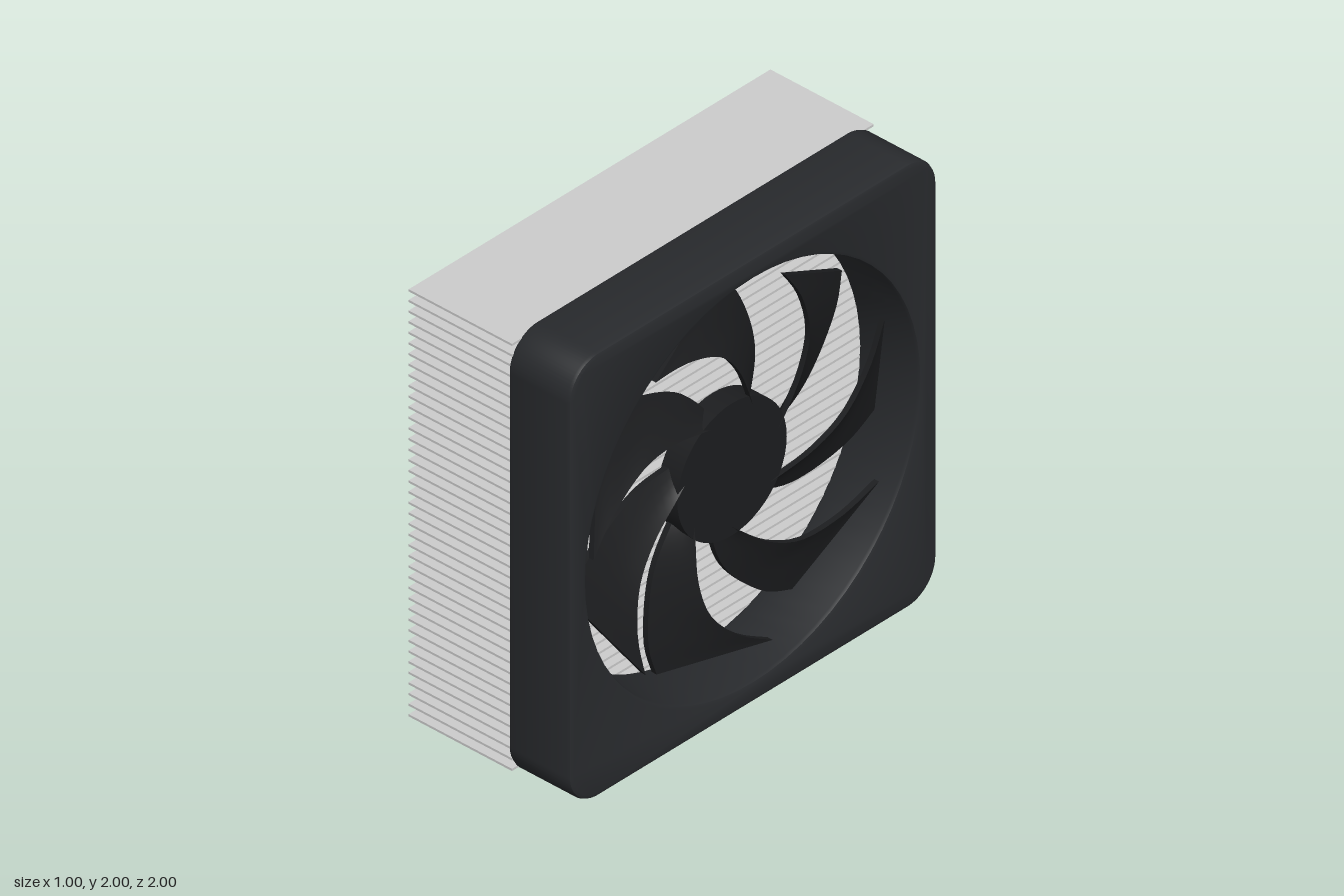
import * as THREE from 'three';
import { toCreasedNormals } from 'three/addons/utils/BufferGeometryUtils.js';
import { RoundedBoxGeometry } from 'three/addons/geometries/RoundedBoxGeometry.js';

const mat = (color) => new THREE.MeshStandardMaterial({ color });

export function createModel() {
  const model = new THREE.Group();
  const metal = mat(0xcccccc), copper = mat(0xb87333);
  const frameMat = mat(0x282a2d), fanMat = mat(0x1c1d1f);

  const add = (name, geometry, material, x = 0, y = 0, z = 0, parent = model) => {
    const mesh = new THREE.Mesh(geometry, material);
    mesh.name = name;
    mesh.position.set(x, y, z);
    parent.add(mesh);
    return mesh;
  };

  // Cooling fins: a stack of thin horizontal plates
  const finCount = 41;
  const fins = new THREE.Group();
  fins.name = 'fins';
  model.add(fins);
  const finGeo = new THREE.BoxGeometry(0.525, 0.01, 1.97);
  for (let i = 0; i < finCount; i++) {
    add('fin', finGeo, metal, -0.072, 0.045 + (i * 1.918) / (finCount - 1), 0, fins);
  }

  // Contact block and the bar running through it
  add('contactBlock', new RoundedBoxGeometry(0.17, 0.895, 0.895, 4, 0.04), copper, -0.418, 1.003, 0);
  add('mountingBar', new THREE.BoxGeometry(0.1, 1.37, 0.205), metal, -0.42, 1.005, 0);

  // Square fan frame with rounded corners and a round opening
  const bevel = 0.018, h = 1 - bevel, r = 0.14;
  const outline = new THREE.Shape();
  outline.moveTo(-h + r, -h);
  outline.lineTo(h - r, -h);
  outline.absarc(h - r, -h + r, r, -Math.PI / 2, 0);
  outline.lineTo(h, h - r);
  outline.absarc(h - r, h - r, r, 0, Math.PI / 2);
  outline.lineTo(-h + r, h);
  outline.absarc(-h + r, h - r, r, Math.PI / 2, Math.PI);
  outline.lineTo(-h, -h + r);
  outline.absarc(-h + r, -h + r, r, Math.PI, Math.PI * 1.5);
  const opening = new THREE.Path();
  opening.absarc(0, 0, 0.908 + bevel, 0, Math.PI * 2, true);
  outline.holes.push(opening);
  const frameGeo = new THREE.ExtrudeGeometry(outline, {
    depth: 0.317 - 2 * bevel, bevelEnabled: true, bevelSize: bevel,
    bevelThickness: bevel, bevelSegments: 2, curveSegments: 32,
  });
  frameGeo.translate(0, 0, bevel);
  frameGeo.rotateY(Math.PI / 2);
  add('fanFrame', toCreasedNormals(frameGeo, 0.5), frameMat, 0.183, 1, 0);

  // Fan rotor, built facing +z and then turned to face +x
  const rotor = new THREE.Group();
  rotor.name = 'fanRotor';
  rotor.position.set(0.39, 1, 0);
  rotor.rotation.y = Math.PI / 2;
  model.add(rotor);

  const hubGeo = new THREE.CylinderGeometry(0.298, 0.298, 0.1, 48);
  hubGeo.rotateX(Math.PI / 2);
  add('hub', hubGeo, fanMat, 0, 0, -0.05, rotor);

  // Swept blade: a thin box mapped between two edge curves and pitched
  const curve = (pts) => new THREE.SplineCurve(pts.map(([x, y]) => new THREE.Vector2(x, y)));
  const inner = curve([[0.125, 0.2], [0.09, 0.29], [0.012, 0.45], [-0.11, 0.58], [-0.3, 0.653], [-0.487, 0.668]]);
  const outer = curve([[0.14, 0.15], [0.168, 0.23], [0.192, 0.396], [0.163, 0.556], [0.085, 0.735], [-0.016, 0.85]]);
  const bladeGeo = new THREE.BoxGeometry(1, 1, 0.025, 4, 20, 1);
  const p = bladeGeo.attributes.position;
  for (let i = 0; i < p.count; i++) {
    const s = p.getX(i) + 0.5, t = p.getY(i) + 0.5;
    const q = inner.getPoint(t).lerp(outer.getPoint(t), s);
    const pitch = (0.5 - s) * (0.06 + 0.06 * t);
    p.setXYZ(i, q.x, q.y, p.getZ(i) - 0.05 + 0.045 * t + pitch);
  }
  const blade = toCreasedNormals(bladeGeo, 0.6);
  for (let i = 0; i < 7; i++) {
    add('blade', blade, fanMat, 0, 0, 0, rotor).rotation.z = (i * Math.PI * 2) / 7;
  }

  return model;
}
